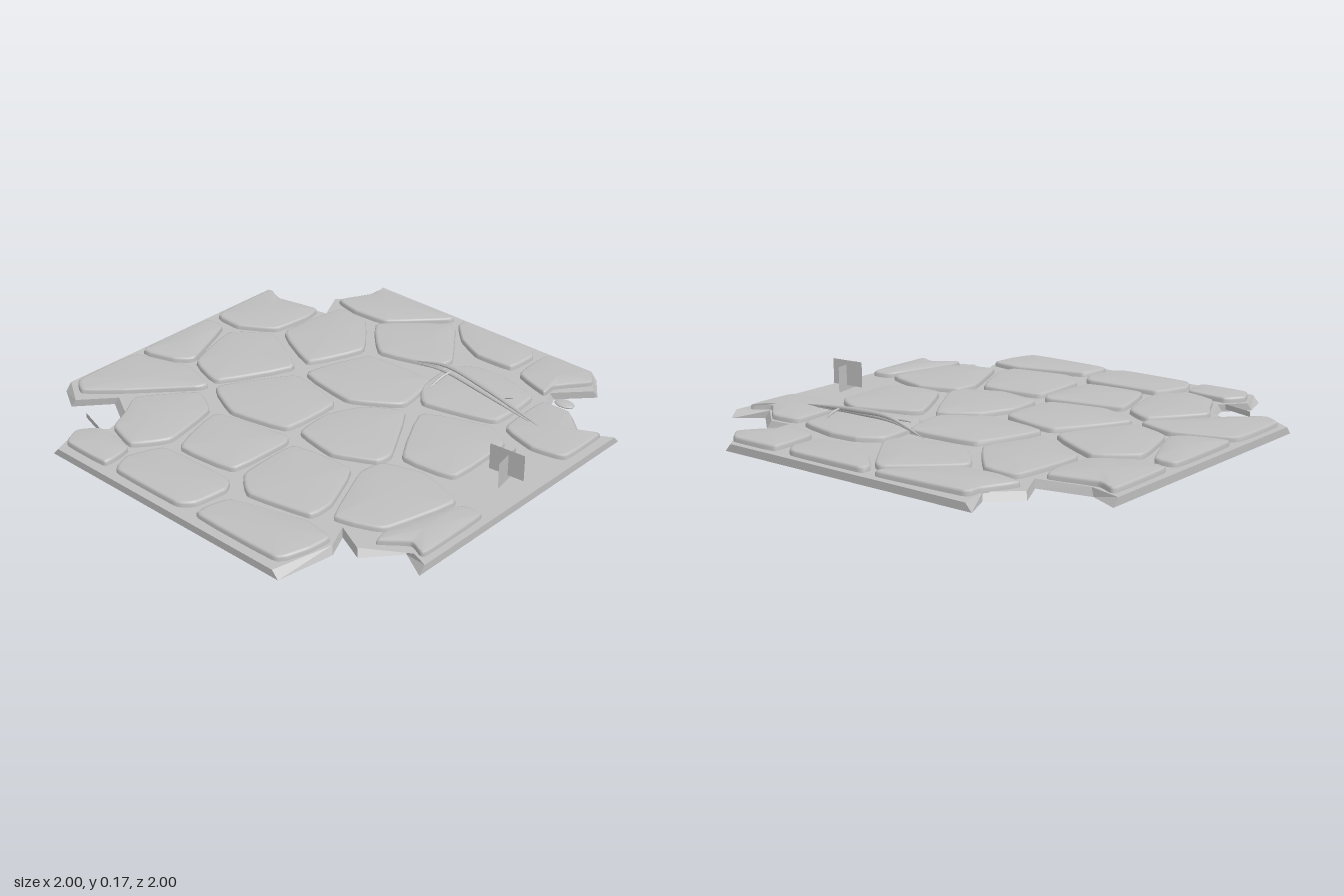
import * as THREE from 'three';

const stone = new THREE.MeshStandardMaterial({ color: 0xbebebe, side: THREE.DoubleSide });
stone.name = 'pale grey stone';

const BED = 0.033; // height of the joints between the paving stones

// Splits a flat list of hundredths into [x, z] points
function points(list) {
  const out = [];
  for (let i = 0; i < list.length; i += 2) out.push([list[i] / 100, list[i + 1] / 100]);
  return out;
}

// Cuts each corner of a closed outline
function cutCorners(pts, t) {
  return pts.flatMap((p, i) => {
    const q = pts[(i + 1) % pts.length];
    const mix = (k) => [p[0] + (q[0] - p[0]) * k, p[1] + (q[1] - p[1]) * k];
    return [mix(t), mix(1 - t)];
  });
}

function centre(pts) {
  const c = [0, 0];
  for (const p of pts) { c[0] += p[0] / pts.length; c[1] += p[1] / pts.length; }
  return c;
}

function scaled(pts, s) {
  const c = centre(pts);
  return pts.map((p) => [c[0] + (p[0] - c[0]) * s, c[1] + (p[1] - c[1]) * s]);
}

// Joins closed rings of equal length, given as [outline, height]
function loft(rings) {
  const n = rings[0][0].length, pos = [], index = [];
  for (const [pts, y] of rings) for (const p of pts) pos.push(p[0], y, p[1]);
  for (let r = 0; r < rings.length - 1; r++) {
    for (let i = 0; i < n; i++) {
      const j = (i + 1) % n, a = r * n, b = a + n;
      index.push(a + j, a + i, b + i, b + i, b + j, a + j);
    }
  }
  const g = new THREE.BufferGeometry();
  g.setAttribute('position', new THREE.Float32BufferAttribute(pos, 3));
  g.setIndex(index);
  g.computeVertexNormals();
  return g;
}

// Tube thinning towards both ends
function branch(path, radius, tip = 0.15) {
  const curve = new THREE.CatmullRomCurve3(path.map((p) => new THREE.Vector3(...p)));
  const seg = 24, sides = 7;
  const g = new THREE.TubeGeometry(curve, seg, radius, sides, false);
  const pos = g.attributes.position, v = new THREE.Vector3();
  for (let i = 0; i <= seg; i++) {
    const c = curve.getPointAt(i / seg);
    const k = tip + (1 - tip) * Math.sin((Math.PI * i) / seg);
    for (let j = 0; j <= sides; j++) {
      const id = i * (sides + 1) + j;
      v.fromBufferAttribute(pos, id).sub(c).multiplyScalar(k).add(c);
      pos.setXYZ(id, v.x, v.y, v.z);
    }
  }
  g.computeVertexNormals();
  return g;
}

// Upright thin card between two ground points
function card(x0, z0, x1, z1, y0, y1) {
  const g = new THREE.PlaneGeometry(Math.hypot(x1 - x0, z1 - z0), y1 - y0);
  g.rotateY(-Math.atan2(z1 - z0, x1 - x0));
  g.translate((x0 + x1) / 2, (y0 + y1) / 2, (z0 + z1) / 2);
  return g;
}

export function createModel() {
  const model = new THREE.Group();
  model.name = 'stonePaving';
  const add = (name, geometry, parent = model) => {
    const m = new THREE.Mesh(geometry, stone);
    m.name = name;
    parent.add(m);
    return m;
  };

  // Paving stones: low domes, open underneath
  const stones = new THREE.Group();
  stones.name = 'pavingStones';
  model.add(stones);
  const holes = [];
  const pave = (...list) => {
    const o = cutCorners(cutCorners(points(list), 0.1), 0.25);
    add('pavingStone', loft([
      [o, BED - 0.003], [scaled(o, 0.995), 0.047], [scaled(o, 0.975), 0.054],
      [scaled(o, 0.93), 0.057], [scaled(o, 0.5), 0.062], [scaled(o, 0.001), 0.063],
    ]), stones);
    holes.push(scaled(o, 0.88));
  };
  // back rows
  pave(-58, -95, -14, -97, -13, -94, -35, -71, -53, -70, -66, -73, -58, -88);
  pave(-8, -97, 31, -97, 36, -91, 35, -76, 16, -75, 2, -82, -8, -92);
  pave(39, -97, 63, -97, 69, -90, 58, -76, 59, -68, 40, -74);
  pave(-11, -91, -6, -88, 12, -64, 11, -56, -18, -47, -38, -67);
  pave(37, -68, 58, -63, 59, -35, 25, -26, 16, -37, 14, -60, 24, -67);
  pave(62, -62, 76, -63, 88, -51, 96, -58, 96, -32, 81, -29, 63, -34);
  pave(-97, -60, -88, -55, -66, -60, -64, -51, -66, -32, -82, -22, -97, -23);
  pave(-59, -68, -42, -67, -23, -45, -34, -18, -63, -32);
  // middle rows
  pave(-19, -43, 17, -45, 22, -20, 1, -6, -30, -11);
  pave(-64, -29, -34, -13, -52, 21, -72, 14, -81, -16);
  pave(-97, -18, -86, -18, -73, 13, -80, 19, -97, 24);
  pave(29, -20, 60, -32, 72, -25, 73, 10, 47, 13);
  pave(25, -18, 44, 14, 43, 21, 25, 30, 3, 26, 2, 8, 9, -7);
  pave(-30, -9, 0, -2, -1, 28, -29, 34, -50, 24);
  // front rows
  pave(-97, 27, -69, 18, -52, 24, -53, 28, -76, 53, -89, 65, -97, 60);
  pave(-50, 30, -36, 38, -30, 66, -40, 80, -56, 75, -61, 64, -68, 53);
  pave(-34, 38, 3, 31, 6, 35, 5, 65, -25, 68);
  pave(8, 34, 39, 31, 50, 56, 50, 67, 20, 73, 9, 64);
  pave(44, 20, 62, 14, 85, 21, 76, 55, 64, 60, 56, 62, 52, 54, 42, 31);
  pave(87, 22, 97, 21, 97, 58, 89, 54, 78, 63, 77, 56);
  pave(-59, 79, -38, 81, -36, 96, -61, 96, -65, 87);
  pave(-29, 71, 9, 70, 13, 76, 11, 91, 6, 96, -31, 96, -35, 87);
  pave(17, 80, 51, 70, 65, 72, 64, 83, 60, 96, 14, 96);

  // Broken outline of the slab; the notches slope inwards towards the top
  const outline = points([
    -64, -100, 64, -100, 73, -88, 60, -74, 64, -65, 76, -66, 89, -54.5, 100, -64,
    100, 63, 88, 56, 76, 70, 63, 64, 68, 75, 64, 100,
    -64, 100, -68, 87, -59, 77, -62, 65, -76, 57, -88, 71, -100, 64,
    -100, -64, -87, -58, -64, -63, -71, -77, -59, -88,
  ]);
  const topEdge = outline.map(([x, z]) => {
    if (Math.abs(x) === 1) return [x, z - 0.03 * Math.sign(z)];
    if (Math.abs(z) === 1) return [x - 0.03 * Math.sign(x), z];
    const k = 1 - 0.02 / Math.hypot(x, z);
    return [x * k, z * k];
  });
  const rim = loft([[outline, 0], [topEdge, BED]]).toNonIndexed();
  rim.computeVertexNormals();
  add('slabRim', rim);

  // Joint bed between the stones
  const toV = (pts) => pts.map(([x, z]) => new THREE.Vector2(x, -z));
  const bedShape = new THREE.Shape(toV(topEdge));
  for (const h of holes) bedShape.holes.push(new THREE.Path(toV(h)));
  const bed = new THREE.ShapeGeometry(bedShape);
  bed.rotateX(-Math.PI / 2);
  bed.translate(0, BED, 0);
  add('jointBed', bed);

  // Fallen branch with a split stem and two twigs
  const fallen = new THREE.Group();
  fallen.name = 'fallenBranch';
  model.add(fallen);
  add('upperStem', branch([[0.01, 0.058, -0.52], [0.2, 0.107, -0.505], [0.42, 0.099, -0.48], [0.76, 0.06, -0.43]], 0.011), fallen);
  add('lowerStem', branch([[0.03, 0.058, -0.51], [0.2, 0.088, -0.49], [0.42, 0.083, -0.465], [0.7, 0.06, -0.435]], 0.009), fallen);
  add('frontTwig', branch([[0.23, 0.1, -0.5], [0.215, 0.085, -0.44], [0.21, 0.06, -0.37]], 0.006, 0.5), fallen);
  add('backTwig', branch([[0.515, 0.09, -0.46], [0.52, 0.08, -0.5], [0.525, 0.06, -0.545]], 0.006, 0.5), fallen);

  // Crossed cards of the grass tuft
  add('grassCardWide', card(0.785, -0.05, 0.945, -0.065, 0.055, 0.17));
  add('grassCardDeep', card(0.86, -0.12, 0.885, 0.02, BED, 0.15));

  // Loose pieces in the notches
  add('looseBlade', card(-0.75, 0.735, -0.57, 0.79, 0.01, BED));
  const pebble = add('pebble', new THREE.SphereGeometry(1, 14, 10));
  pebble.scale.set(0.048, 0.01, 0.032);
  pebble.position.set(0.67, 0.014, -0.72);

  return model;
}
